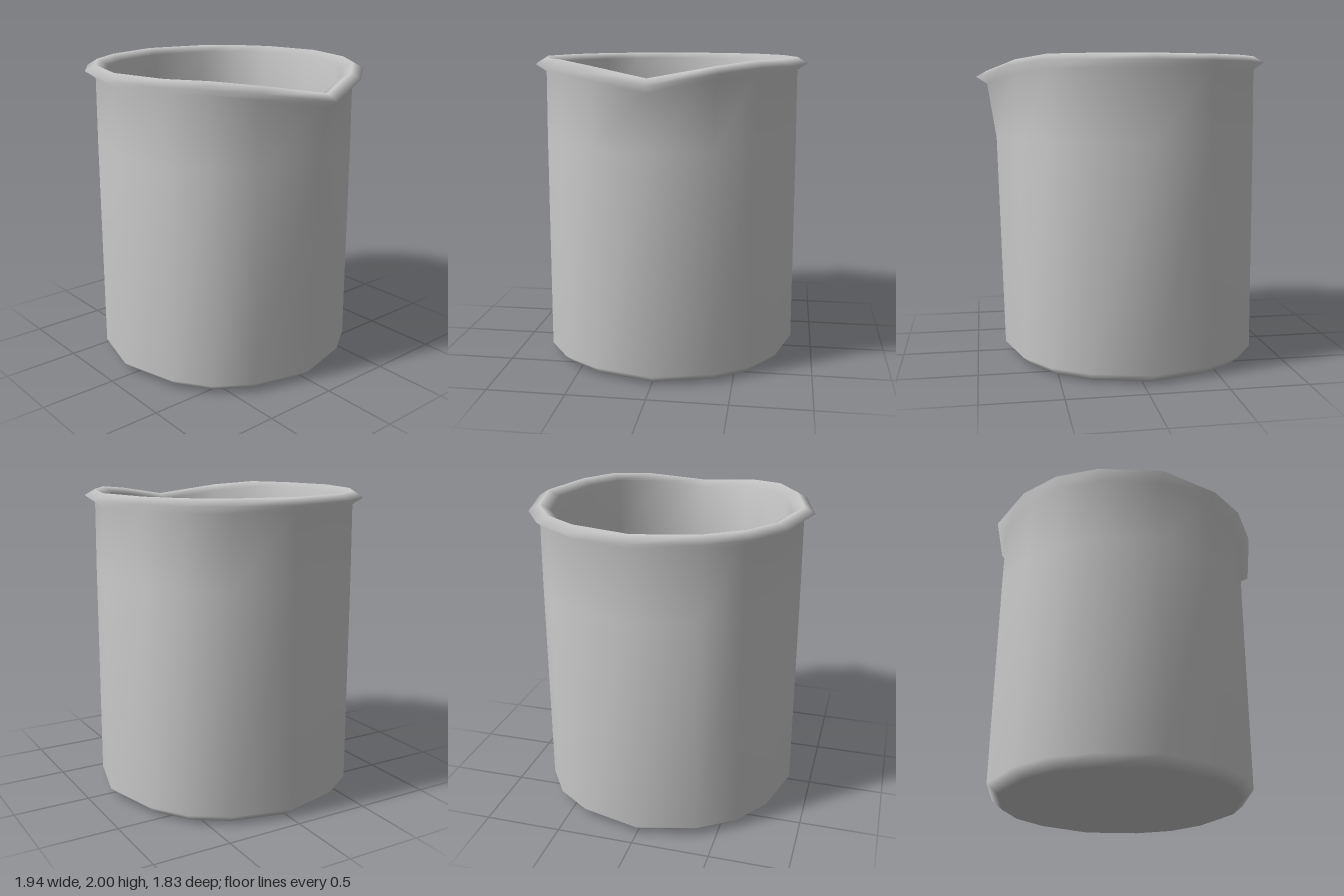
import * as THREE from 'three';

// Uneven 16-sided plan, one quadrant at a time: [degrees, radius factor]
const QUADRANT = [[0, 1], [26.6, 0.99], [45, 1], [63.4, 0.99]];
const CENTRE_X = -0.055;

// Section from the underside, up the outside, over the rim and down inside:
// [radius, height, spout push outwards, spout drop]
const PROFILE = [
  [0, 0, 0, 0],
  [0.79, 0, 0, 0],
  [0.86, 0.06, 0.005, 0],
  [0.855, 1.47, 0.045, 0],
  [0.85, 1.915, 0.105, 0.09],
  [0.917, 1.96, 0.108, 0.09],
  [0.85, 2, 0.105, 0.09],
  [0.777, 1.96, 0.1, 0.09],
  [0.785, 1.47, 0.045, 0],
  [0.785, 0.12, 0.01, 0],
  [0.73, 0.07, 0, 0],
  [0, 0.07, 0, 0],
];

// How strongly each column takes part in the spout at +x
function spoutWeight(i, n) {
  const d = Math.min(i, n - i);
  return d === 0 ? 1 : d === 1 ? 0.3 : 0;
}

function vesselGeometry() {
  const n = QUADRANT.length * 4;
  const positions = [];
  const index = [];
  PROFILE.forEach(([r, y, push, drop], j) => {
    for (let i = 0; i < n; i++) {
      const [deg, factor] = QUADRANT[i % 4];
      const a = THREE.MathUtils.degToRad(deg + 90 * Math.floor(i / 4));
      const w = spoutWeight(i, n);
      positions.push(
        CENTRE_X + r * factor * Math.cos(a) + push * w,
        y - drop * w,
        r * factor * Math.sin(a)
      );
      if (j === PROFILE.length - 1) continue;
      const p = j * n + i;
      const q = j * n + (i + 1) % n;
      // Leave out the collapsed halves at the two poles
      if (r > 0) index.push(p, p + n, q);
      if (PROFILE[j + 1][0] > 0) index.push(q, p + n, q + n);
    }
  });
  const geometry = new THREE.BufferGeometry();
  geometry.setAttribute('position', new THREE.Float32BufferAttribute(positions, 3));
  geometry.setIndex(index);
  geometry.computeVertexNormals();
  // Pole vertices point straight down or up
  const normals = geometry.attributes.normal;
  const last = (PROFILE.length - 1) * n;
  for (let i = 0; i < n; i++) {
    normals.setXYZ(i, 0, -1, 0);
    normals.setXYZ(last + i, 0, 1, 0);
  }
  return geometry;
}

export function createModel() {
  const group = new THREE.Group();
  group.name = 'beaker';

  // Thick-walled vessel with rolled rim and pouring spout
  const vessel = new THREE.Mesh(
    vesselGeometry(),
    new THREE.MeshStandardMaterial({ color: 0xcccccc })
  );
  vessel.name = 'vessel';
  group.add(vessel);
  return group;
}
